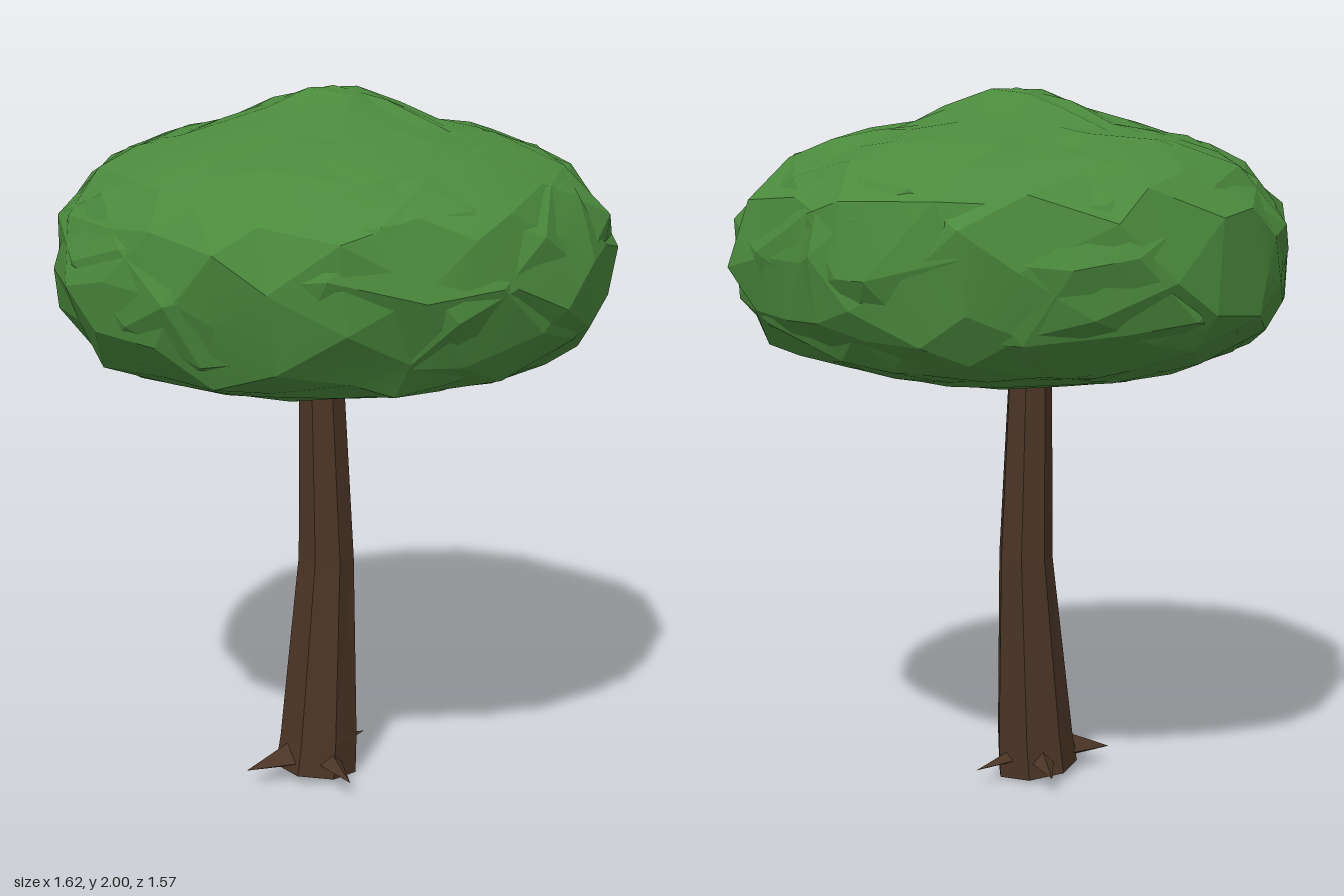
import * as THREE from 'three';
import { mergeVertices, toCreasedNormals } from 'three/addons/utils/BufferGeometryUtils.js';

const leafMat = new THREE.MeshStandardMaterial({ color: 0x4b8a3d });
const barkMat = new THREE.MeshStandardMaterial({ color: 0x4b3526, flatShading: true });

// Repeatable noise in 0..1 from a position
function noise(v, seed) {
  const k = (n) => Math.round(n * 100);
  const s = Math.sin(k(v.x) * 12.9898 + k(v.y) * 78.233 + k(v.z) * 37.719 + seed * 4.1) * 43758.5453;
  return s - Math.floor(s);
}

// Moves every vertex of a geometry by a rule
function reshape(geometry, rule) {
  const pos = geometry.attributes.position;
  const v = new THREE.Vector3();
  for (let i = 0; i < pos.count; i++) {
    v.fromBufferAttribute(pos, i);
    rule(v);
    pos.setXYZ(i, v.x, v.y, v.z);
  }
  return geometry;
}

function facetedBall(detail) {
  const g = new THREE.IcosahedronGeometry(1, detail);
  g.deleteAttribute('uv');
  g.deleteAttribute('normal');
  return mergeVertices(g, 1e-4);
}

// Canopy outline radius every 20 degrees, from +x towards +z
const outline = [0.8, 0.785, 0.785, 0.765, 0.77, 0.79, 0.795, 0.81, 0.795,
  0.81, 0.765, 0.785, 0.81, 0.805, 0.77, 0.785, 0.77, 0.735];

function outlineRadius(angle) {
  const a = ((angle / (Math.PI * 2) + 2) % 1) * outline.length;
  const i = Math.floor(a);
  return THREE.MathUtils.lerp(outline[i % 18], outline[(i + 1) % 18], a - i);
}

// Canopy profile from crown to belly: share of the radius, height
const profile = new THREE.SplineCurve([
  [0, 2.0], [0.12, 1.99], [0.4, 1.905], [0.6, 1.87], [0.8, 1.8], [0.92, 1.73], [0.985, 1.64],
  [1, 1.55], [0.98, 1.44], [0.87, 1.295], [0.72, 1.25], [0.5, 1.21], [0.2, 1.175], [0, 1.17],
].map(([r, y]) => new THREE.Vector2(r, y)));

// Irregular leaf shell; two of them interlock into ragged seams
function leafShell(detail, seed, size) {
  const g = reshape(facetedBall(detail), (v) => {
    const [a, b, c] = [0, 1, 2].map((n) => noise(v, seed + n) - 0.5);
    const pole = Math.abs(v.y) > 0.97 ? 0 : 1;
    const angle = Math.atan2(v.z, v.x) + a * 0.13 * pole + seed;
    const u = THREE.MathUtils.clamp(Math.acos(v.y) / Math.PI + b * 0.035 * pole, 0, 1);
    const p = profile.getPointAt(u);
    const swell = size + c * 0.05 * pole;
    const r = p.x * outlineRadius(angle) * swell;
    v.set(r * Math.cos(angle), 1.55 + (p.y - 1.55) * (pole ? swell : 1), r * Math.sin(angle));
  });
  return new THREE.Mesh(toCreasedNormals(g, 0.2), leafMat);
}

// Trunk rings from top to bottom: y, centre x, centre z, radius x, radius z
const rings = [
  [1.42, -0.043, 0.01, 0.06, 0.06],
  [1.17, -0.042, 0.01, 0.065, 0.068],
  [0.66, -0.029, 0.01, 0.079, 0.092],
  [0.12, -0.059, 0.022, 0.115, 0.113],
  [0.015, -0.068, 0.022, 0.121, 0.117],
];

function trunk() {
  const g = reshape(new THREE.CylinderGeometry(1, 1, 1, 7, 4), (v) => {
    const i = Math.round((0.5 - v.y) * 4);
    const [y, cx, cz, rx, rz] = rings[i];
    const tilt = i === 4 ? -0.015 * v.x : 0;
    v.set(cx + v.x * rx, y + tilt, cz + v.z * rz);
  });
  return new THREE.Mesh(g, barkMat);
}

// Pointed root running out from the foot of the trunk to a tip
function root([tipX, tipZ, width]) {
  const foot = new THREE.Vector3(-0.065, 0.065, 0.025);
  const out = new THREE.Vector3(tipX - foot.x, 0, tipZ - foot.z);
  const length = out.length();
  const g = new THREE.ConeGeometry(width, length, 4);
  g.translate(0, length / 2, 0);
  g.rotateX(Math.PI / 2);
  // Tip drops slightly and the underside is flattened
  reshape(g, (v) => { v.y = v.y * (v.y < 0 ? 0.5 : 1) - 0.015 * (v.z / length); });
  g.rotateY(Math.atan2(out.x, out.z));
  g.translate(foot.x, foot.y, foot.z);
  return new THREE.Mesh(g, barkMat);
}

// Root tips: x, z, half width
const roots = [[-0.3, 0.04, 0.085], [0.14, -0.07, 0.045], [-0.07, 0.25, 0.06], [-0.05, -0.2, 0.06]];

export function createModel() {
  const tree = new THREE.Group();
  tree.name = 'tree';
  const add = (mesh, name) => { mesh.name = name; tree.add(mesh); };

  add(leafShell(4, 0, 0.995), 'canopy');
  add(leafShell(3, 2, 0.99), 'canopyClumps');
  add(trunk(), 'trunk');
  roots.forEach((r) => add(root(r), 'root'));
  return tree;
}
